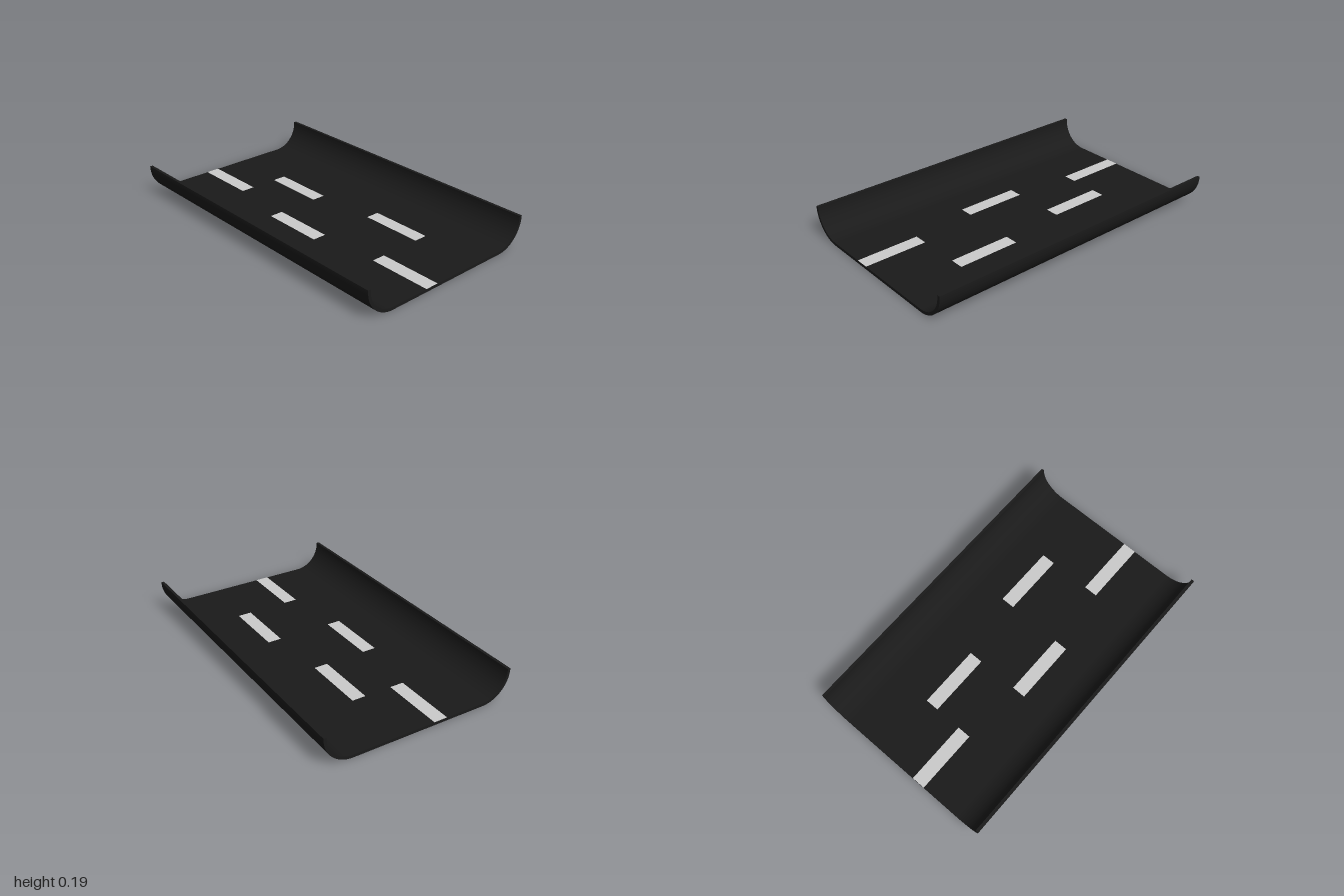
import * as THREE from 'three';
import { toCreasedNormals } from 'three/addons/utils/BufferGeometryUtils.js';

const HALF_WIDTH = 0.607, HEIGHT = 0.187, RADIUS = 0.18, THICKNESS = 0.018;
const LENGTH = 2, STRIP_WIDTH = 0.086, STRIP_LENGTH = 0.4;

// Flat floor with quarter-round sides, as a closed cross-section
function channelShape() {
  const cx = HALF_WIDTH - RADIUS, inner = RADIUS - THICKNESS;
  const shape = new THREE.Shape();
  shape.moveTo(-cx, 0);
  shape.lineTo(cx, 0);
  shape.absarc(cx, RADIUS, RADIUS, -Math.PI / 2, 0, false);
  shape.lineTo(HALF_WIDTH, HEIGHT);
  shape.lineTo(HALF_WIDTH - THICKNESS, HEIGHT);
  shape.absarc(cx, RADIUS, inner, 0, -Math.PI / 2, true);
  shape.lineTo(-cx, THICKNESS);
  shape.absarc(-cx, RADIUS, inner, -Math.PI / 2, -Math.PI, true);
  shape.lineTo(-HALF_WIDTH + THICKNESS, HEIGHT);
  shape.lineTo(-HALF_WIDTH, HEIGHT);
  shape.absarc(-cx, RADIUS, RADIUS, Math.PI, Math.PI * 1.5, false);
  return shape;
}

export function createModel() {
  const model = new THREE.Group();
  model.name = 'track';
  const dark = new THREE.MeshStandardMaterial({ color: 0x1a1a1a });
  const light = new THREE.MeshStandardMaterial({ color: 0xcccccc });

  // Curved road bed
  const bed = new THREE.ExtrudeGeometry(channelShape(), {
    depth: LENGTH, bevelEnabled: false, curveSegments: 20,
  });
  bed.translate(0, 0, -LENGTH / 2);
  const road = new THREE.Mesh(toCreasedNormals(bed, 0.6), dark);
  road.name = 'roadBed';
  model.add(road);

  // Staggered strips from back to front, on the top and underside
  const stripGeometry = new THREE.PlaneGeometry(STRIP_WIDTH, STRIP_LENGTH);
  [-0.134, 0.123, -0.22, 0.21, -0.134].forEach((x, i) => {
    for (const side of [1, -1]) {
      const strip = new THREE.Mesh(stripGeometry, light);
      strip.name = side > 0 ? 'topStrip' : 'undersideStrip';
      strip.rotation.x = -side * Math.PI / 2;
      strip.position.set(x, side > 0 ? THICKNESS + 0.001 : -0.001, -0.8 + i * STRIP_LENGTH);
      model.add(strip);
    }
  });
  return model;
}
